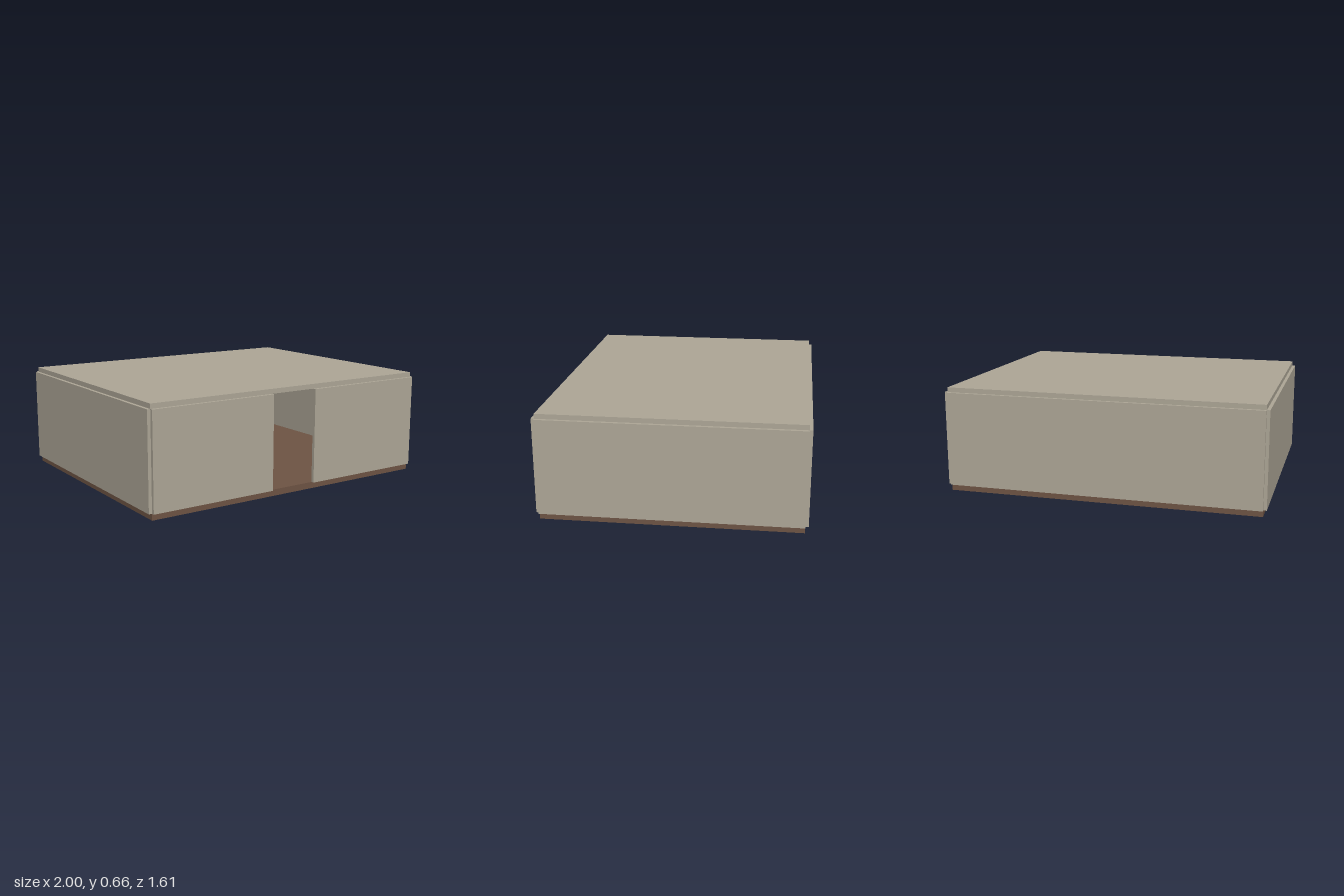
import * as THREE from 'three';

export function createModel() {
  const root = new THREE.Group();
  const plaster = new THREE.MeshStandardMaterial({ name: 'plaster', color: 0xaea797 });
  const wood = new THREE.MeshStandardMaterial({ name: 'brown wood', color: 0x6e5444 });

  // Box given by its minimum and maximum corners
  function slab(parent, name, material, [x0, y0, z0], [x1, y1, z1]) {
    const mesh = new THREE.Mesh(new THREE.BoxGeometry(x1 - x0, y1 - y0, z1 - z0), material);
    mesh.position.set((x0 + x1) / 2, (y0 + y1) / 2, (z0 + z1) / 2);
    mesh.name = name;
    parent.add(mesh);
  }

  const X = 0.98, Z = 0.785, floorY = 0.04, wallY = 0.63, t = 0.02;

  // Floor and roof sit inside the outline of the wall panels
  slab(root, 'floor', wood, [-X, 0, -Z], [X, floorY, Z]);
  slab(root, 'roof', plaster, [-X, wallY, -Z], [X, 0.66, Z]);

  // Wall panels, leaving the corners open and a doorway at the front
  slab(root, 'backWall', plaster, [-X, floorY, -Z - t], [X, wallY, -Z]);
  slab(root, 'rightWall', plaster, [-X - t, floorY, -Z], [-X, wallY, Z]);
  slab(root, 'leftWall', plaster, [X, floorY, -Z], [X + t, wallY, Z]);
  slab(root, 'frontWallRight', plaster, [-X, floorY, Z], [-0.16, wallY, Z + t]);
  slab(root, 'frontWallLeft', plaster, [0.155, floorY, Z], [X, wallY, Z + t]);

  // Desk with a raised back board
  const desk = new THREE.Group();
  desk.name = 'desk';
  root.add(desk);
  slab(desk, 'deskTop', wood, [-0.43, 0.22, 0.21], [-0.12, 0.24, 0.378]);
  slab(desk, 'backBoard', wood, [-0.46, 0.09, 0.19], [-0.135, 0.29, 0.21]);
  for (const x of [-0.38, -0.14]) {
    for (const z of [0.24, 0.35]) {
      slab(desk, 'deskLeg', wood, [x, 0.13, z], [x + 0.02, 0.22, z + 0.02]);
    }
  }

  // Low cabinet against the inside of the front wall
  slab(root, 'cabinet', plaster, [-0.4, floorY, 0.67], [-0.162, 0.24, Z]);

  return root;
}
